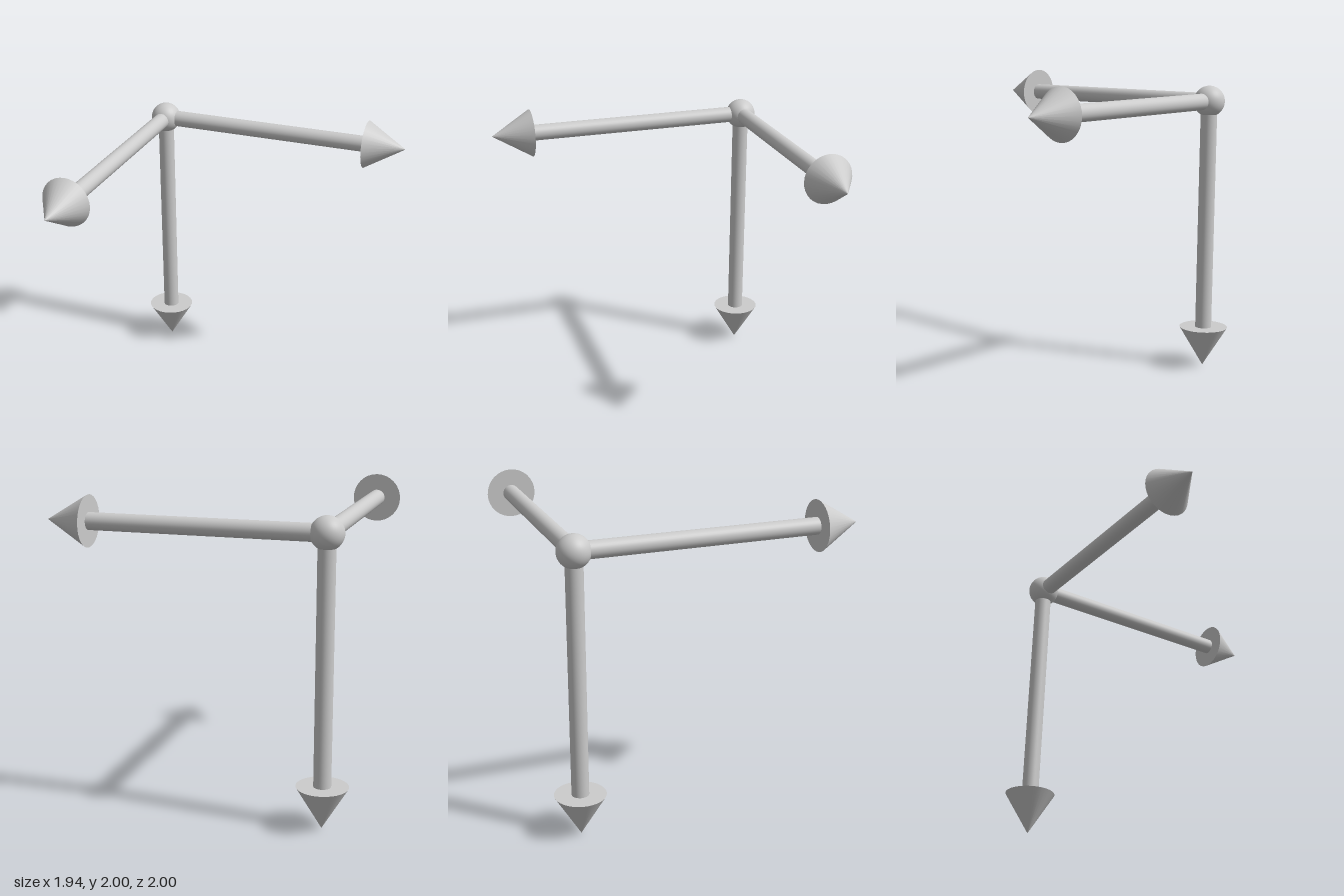
import * as THREE from 'three';

const SHAFT_RADIUS = 0.055;
const HEAD_RADIUS = 0.164;
const HEAD_LENGTH = 0.274;
const JOINT_RADIUS = 0.104;

// Arrow growing from the origin along +y, then turned towards a direction
function createArrow(name, direction, length, material) {
  const arrow = new THREE.Group();
  arrow.name = name;
  const shaftLength = length - HEAD_LENGTH;

  const shaft = new THREE.Mesh(
    new THREE.CylinderGeometry(SHAFT_RADIUS, SHAFT_RADIUS, shaftLength, 32), material);
  shaft.name = name + 'Shaft';
  shaft.position.y = shaftLength / 2;

  const head = new THREE.Mesh(
    new THREE.ConeGeometry(HEAD_RADIUS, HEAD_LENGTH, 32), material);
  head.name = name + 'Head';
  head.position.y = shaftLength + HEAD_LENGTH / 2;

  arrow.add(shaft, head);
  arrow.quaternion.setFromUnitVectors(new THREE.Vector3(0, 1, 0), direction);
  return arrow;
}

export function createModel() {
  const model = new THREE.Group();
  model.name = 'axisArrows';
  const material = new THREE.MeshStandardMaterial({ color: 0xcccccc });

  // Ball where the three arrows meet
  const joint = new THREE.Mesh(new THREE.SphereGeometry(JOINT_RADIUS, 32, 24), material);
  joint.name = 'jointBall';

  // Three perpendicular arrows
  model.add(
    joint,
    createArrow('sideArrow', new THREE.Vector3(1, 0, 0), 1.773, material),
    createArrow('downArrow', new THREE.Vector3(0, -1, 0), 1.836, material),
    createArrow('frontArrow', new THREE.Vector3(0, 0, 1), 1.836, material),
  );
  for (const part of model.children) part.position.set(-0.806, 1.836, -0.836);
  return model;
}
